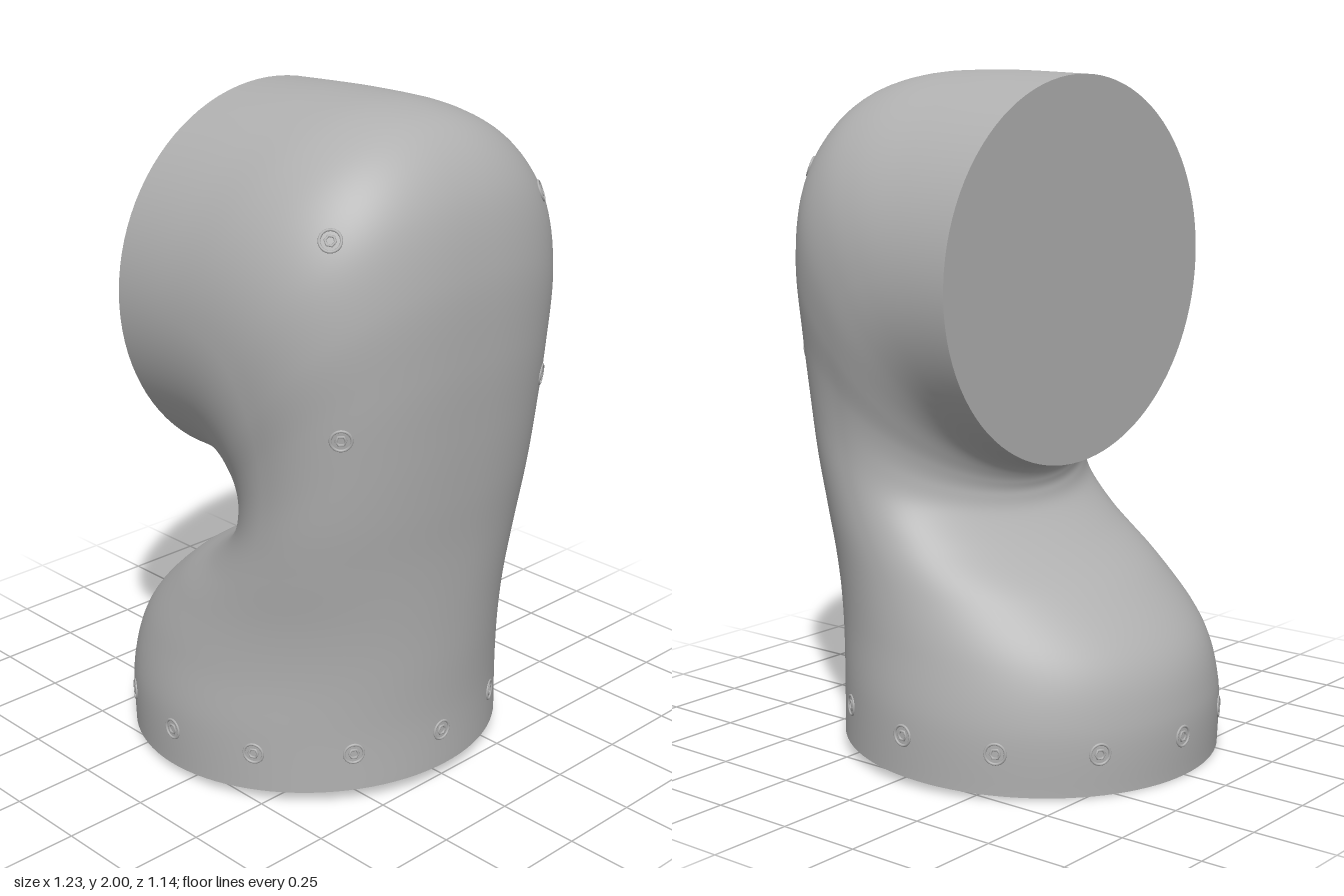
import * as THREE from 'three';

// Cross-sections fanning from base to side flange:
// inner x, inner y, outer x, outer y, half width, squareness of outer half, yaw
const SECTIONS = [
  [-0.61, 0.0, 0.515, 0.045, 0.565, 2, 0],
  [-0.613, 0.19, 0.515, 0.22, 0.562, 2, 0],
  [-0.56, 0.36, 0.525, 0.4, 0.535, 2.05, 0],
  [-0.4, 0.52, 0.535, 0.56, 0.51, 2.1, 0],
  [-0.22, 0.63, 0.55, 0.75, 0.494, 2.2, 0],
  [-0.115, 0.71, 0.57, 0.93, 0.486, 2.3, 0],
  [-0.088, 0.765, 0.588, 1.12, 0.487, 2.4, 0],
  [-0.09, 0.8, 0.603, 1.34, 0.502, 2.45, 0],
  [-0.1, 0.825, 0.601, 1.58, 0.532, 2.45, 0],
  [-0.115, 0.842, 0.555, 1.79, 0.556, 2.35, 0.005],
  [-0.135, 0.852, 0.45, 1.93, 0.568, 2.2, 0.01],
  [-0.16, 0.858, 0.29, 1.99, 0.571, 2.1, 0.02],
  [-0.18, 0.86, 0.05, 2.0, 0.569, 2, 0.03],
  [-0.2, 0.86, -0.24, 1.987, 0.565, 2, 0.045],
];
const RINGS = 104, SIDES = 96;

// Smooth interpolation of every section value
function sectionAt(t) {
  const f = t * (SECTIONS.length - 1);
  const i = Math.min(Math.floor(f), SECTIONS.length - 2), s = f - i;
  const at = (k) => SECTIONS[Math.max(0, Math.min(SECTIONS.length - 1, k))];
  const [a, b, c, d] = [at(i - 1), at(i), at(i + 1), at(i + 2)];
  return b.map((v, k) => v + 0.5 * s * (c[k] - a[k]
    + s * (2 * a[k] - 5 * v + 4 * c[k] - d[k] + s * (3 * (v - c[k]) + d[k] - a[k]))));
}

function ringPoints(t) {
  const [ix, iy, ox, oy, w, n, yaw] = sectionAt(t);
  const points = [];
  for (let j = 0; j < SIDES; j++) {
    const a = (j / SIDES) * Math.PI * 2, c = Math.cos(a), s = Math.sin(a);
    const p = c > 0 ? 2 / n : 1;
    const u = Math.sign(c) * Math.abs(c) ** p;
    const z = w * Math.sign(s) * Math.abs(s) ** p;
    points.push((ix + ox) / 2 + (u * (ox - ix)) / 2 - yaw * z, (iy + oy) / 2 + (u * (oy - iy)) / 2, z);
  }
  return points;
}

function makeGeometry(positions, index) {
  const g = new THREE.BufferGeometry();
  g.setAttribute('position', new THREE.Float32BufferAttribute(positions, 3));
  g.setIndex(index);
  g.computeVertexNormals();
  return g;
}

function shellGeometry() {
  const positions = [], index = [];
  for (let i = 0; i <= RINGS; i++) {
    positions.push(...ringPoints(i / RINGS));
    if (i === RINGS) break;
    for (let j = 0; j < SIDES; j++) {
      const a = i * SIDES + j, b = i * SIDES + ((j + 1) % SIDES);
      index.push(a, a + SIDES, b, b, a + SIDES, b + SIDES);
    }
  }
  return makeGeometry(positions, index);
}

function capGeometry(t, flip) {
  const [ix, iy, ox, oy] = sectionAt(t);
  const positions = [...ringPoints(t), (ix + ox) / 2, (iy + oy) / 2, 0];
  const index = [];
  for (let j = 0; j < SIDES; j++) {
    const k = (j + 1) % SIDES;
    index.push(SIDES, flip ? k : j, flip ? j : k);
  }
  return makeGeometry(positions, index);
}

export function createModel() {
  const model = new THREE.Group();
  model.name = 'elbowLink';
  const grey = new THREE.MeshStandardMaterial({ color: 0xb0b0b0 });
  grey.name = 'cast grey';

  const add = (parent, geometry, name) => {
    const mesh = new THREE.Mesh(geometry, grey);
    mesh.name = name;
    parent.add(mesh);
    return mesh;
  };

  // Curved housing and its two flat mounting faces
  const housing = add(model, shellGeometry(), 'housing');
  add(model, capGeometry(0, false), 'baseFace');
  add(model, capGeometry(1, true), 'sideFlangeFace');
  housing.updateMatrixWorld(true);

  // Bolt seats are dropped on the housing by casting a ray inward
  const rim = new THREE.TorusGeometry(0.029, 0.004, 8, 28);
  const socket = new THREE.TorusGeometry(0.014, 0.004, 8, 6);
  const raycaster = new THREE.Raycaster();
  const addBolt = (from, direction, name) => {
    raycaster.set(from, direction);
    const hit = raycaster.intersectObject(housing)[0];
    if (!hit) return;
    const bolt = new THREE.Group();
    bolt.name = name;
    add(bolt, rim, 'boltRim');
    add(bolt, socket, 'boltSocket');
    bolt.position.copy(hit.point);
    bolt.quaternion.setFromUnitVectors(new THREE.Vector3(0, 0, 1), hit.face.normal);
    model.add(bolt);
  };

  // Twelve bolts around the base collar, following its slight tilt
  for (let k = 0; k < 12; k++) {
    const a = ((k * 30 + 2) * Math.PI) / 180;
    const out = new THREE.Vector3(Math.cos(a), 0, Math.sin(a));
    const from = out.clone().multiplyScalar(2).add(new THREE.Vector3(-0.05, 0.143 + 0.021 * out.x, 0));
    addBolt(from, out.negate(), 'baseBolt');
  }

  // Four bolts on the rounded back of the upper housing
  for (const y of [1.18, 1.72]) {
    for (const z of [0.41, -0.37]) {
      addBolt(new THREE.Vector3(2, y, z), new THREE.Vector3(-1, 0, 0), 'upperBolt');
    }
  }
  return model;
}
